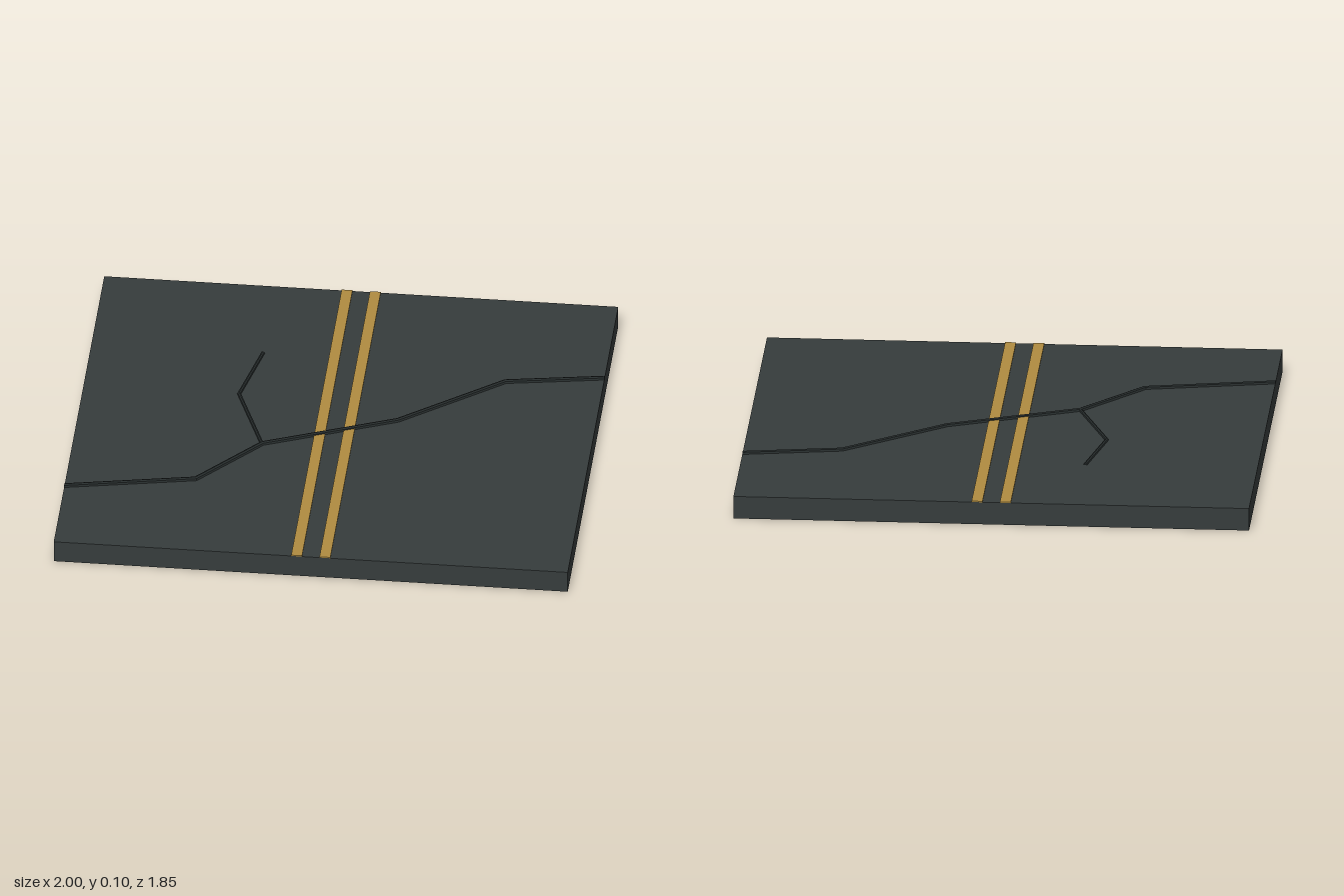
import * as THREE from 'three';

const asphalt = new THREE.MeshStandardMaterial({ name: 'asphalt', color: 0x363c3c });
const paint = new THREE.MeshStandardMaterial({ name: 'ochre paint', color: 0xb08c40 });
const tar = new THREE.MeshStandardMaterial({ name: 'dark tar', color: 0x262c2c, flatShading: true });

const SLAB_H = 0.09, DEPTH = 1.846;

function box(name, mat, w, h, d, x, y) {
  const mesh = new THREE.Mesh(new THREE.BoxGeometry(w, h, d), mat);
  mesh.name = name;
  mesh.position.set(x, y, 0);
  return mesh;
}

// Low ridge swept along a path of [x, z] points with mitred corners.
function ridge(name, path, half, height, clipEnds) {
  const pts = path.map(([x, z]) => new THREE.Vector2(x, z));
  const profile = [[-1, 0], [-0.7, 0.75], [0, 1], [0.7, 0.75], [1, 0]];
  const n = profile.length, pos = [], idx = [];
  pts.forEach((p, i) => {
    const a = pts[Math.max(i - 1, 0)], b = pts[Math.min(i + 1, pts.length - 1)];
    const d1 = (i ? p.clone().sub(a) : b.clone().sub(p)).normalize();
    const d2 = (i < pts.length - 1 ? b.clone().sub(p) : p.clone().sub(a)).normalize();
    const side = new THREE.Vector2(-d1.y - d2.y, d1.x + d2.x).normalize();
    const isEnd = i === 0 || i === pts.length - 1;
    if (isEnd && clipEnds) side.set(0, 1);
    const w = half / (-side.x * d1.y + side.y * d1.x);
    for (const [s, h] of profile) {
      pos.push(p.x + side.x * w * s, SLAB_H - 0.002 + h * (height + 0.002), p.y + side.y * w * s);
    }
  });
  for (let i = 0; i < pts.length - 1; i++) {
    for (let j = 0; j < n - 1; j++) {
      const a = i * n + j, b = a + n;
      idx.push(a, a + 1, b, b, a + 1, b + 1);
    }
  }
  // End caps
  const last = (pts.length - 1) * n;
  for (let j = 1; j < n - 1; j++) {
    idx.push(0, j + 1, j, last, last + j, last + j + 1);
  }
  const geo = new THREE.BufferGeometry();
  geo.setAttribute('position', new THREE.Float32BufferAttribute(pos, 3));
  geo.setIndex(idx);
  geo.computeVertexNormals();
  const mesh = new THREE.Mesh(geo, tar);
  mesh.name = name;
  return mesh;
}

export function createModel() {
  const group = new THREE.Group();
  group.name = 'roadSection';

  group.add(box('roadSlab', asphalt, 2, SLAB_H, DEPTH, 0, SLAB_H / 2));

  // Double centre line
  for (const s of [-1, 1]) {
    group.add(box(s > 0 ? 'leftCentreLine' : 'rightCentreLine', paint, 0.042, 0.004, DEPTH, s * 0.055, SLAB_H + 0.002));
  }

  // Crack across the road and its branch
  group.add(ridge('mainCrack', [[-1, 0.535], [-0.5, 0.435], [-0.27, 0.165], [0.235, -0.05], [0.62, -0.36], [1, -0.425]], 0.011, 0.011, true));
  group.add(ridge('crackBranch', [[-0.27, 0.165], [-0.395, -0.17], [-0.333, -0.46]], 0.008, 0.008, false));

  return group;
}
